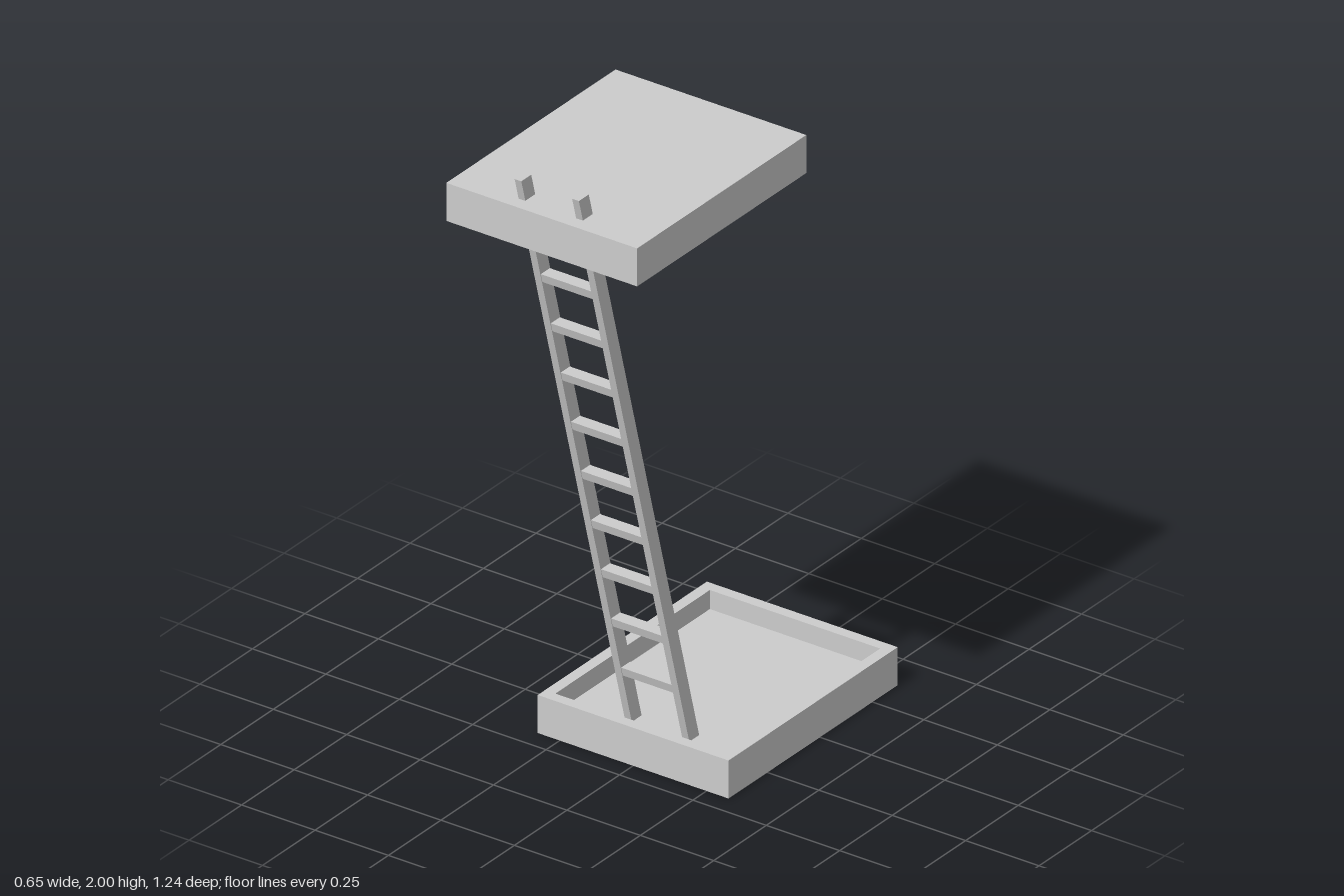
import * as THREE from 'three';

const W = 0.65, D = 0.805, H = 0.12, RIM = 0.035, FLOOR = 0.06;
const material = new THREE.MeshStandardMaterial({ color: 0xcccccc, flatShading: true });

function part(name, geometry) {
  const mesh = new THREE.Mesh(geometry, material);
  mesh.name = name;
  return mesh;
}

// Shallow open tray standing on y = 0: a slab with a rectangular rim on top
function tray(name) {
  const group = new THREE.Group();
  group.name = name;
  group.add(part(name + 'Panel', new THREE.BoxGeometry(W, FLOOR, D).translate(0, FLOOR / 2, 0)));

  const rect = (path, w, d) => path
    .moveTo(-w / 2, -d / 2).lineTo(w / 2, -d / 2)
    .lineTo(w / 2, d / 2).lineTo(-w / 2, d / 2).closePath();
  const outline = rect(new THREE.Shape(), W, D);
  outline.holes.push(rect(new THREE.Path(), W - 2 * RIM, D - 2 * RIM));
  const rim = new THREE.ExtrudeGeometry(outline, { depth: H - FLOOR, bevelEnabled: false });
  rim.rotateX(-Math.PI / 2).translate(0, FLOOR, 0);
  group.add(part(name + 'Rim', rim));
  return group;
}

// Slanted bar between two heights, cut level at both ends, spanning width in x
const backZ = (y) => 0.0075 + 0.2707 * y;
function slantedBar(y0, y1, width, inset = 0) {
  const depth = 0.047 - inset;
  const profile = new THREE.Shape([
    new THREE.Vector2(backZ(y0) + inset, y0),
    new THREE.Vector2(backZ(y0) + depth, y0),
    new THREE.Vector2(backZ(y1) + depth, y1),
    new THREE.Vector2(backZ(y1) + inset, y1),
  ]);
  return new THREE.ExtrudeGeometry(profile, { depth: width, bevelEnabled: false })
    .translate(0, 0, -width / 2).rotateY(-Math.PI / 2);
}

export function createModel() {
  const model = new THREE.Group();
  model.name = 'ladderHatch';

  // Lower tray opens upward, upper tray is turned over and opens downward
  const lower = tray('lowerTray');
  lower.position.z = -0.2175;
  const upper = tray('upperTray');
  upper.rotation.z = Math.PI;
  upper.position.set(0, 1.93, 0.2175);
  model.add(lower, upper);

  // Leaning ladder, its rails passing through the upper tray
  const ladder = new THREE.Group();
  ladder.name = 'ladder';
  for (const [name, side] of [['leftRail', 1], ['rightRail', -1]]) {
    const rail = part(name, slantedBar(FLOOR, 2, 0.023));
    rail.position.x = side * 0.098;
    ladder.add(rail);
  }
  for (let i = 0; i < 9; i++) {
    const y = 0.24 + i * 0.1765;
    ladder.add(part('rung' + (i + 1), slantedBar(y - 0.014, y + 0.014, 0.18, 0.002)));
  }
  model.add(ladder);
  return model;
}
